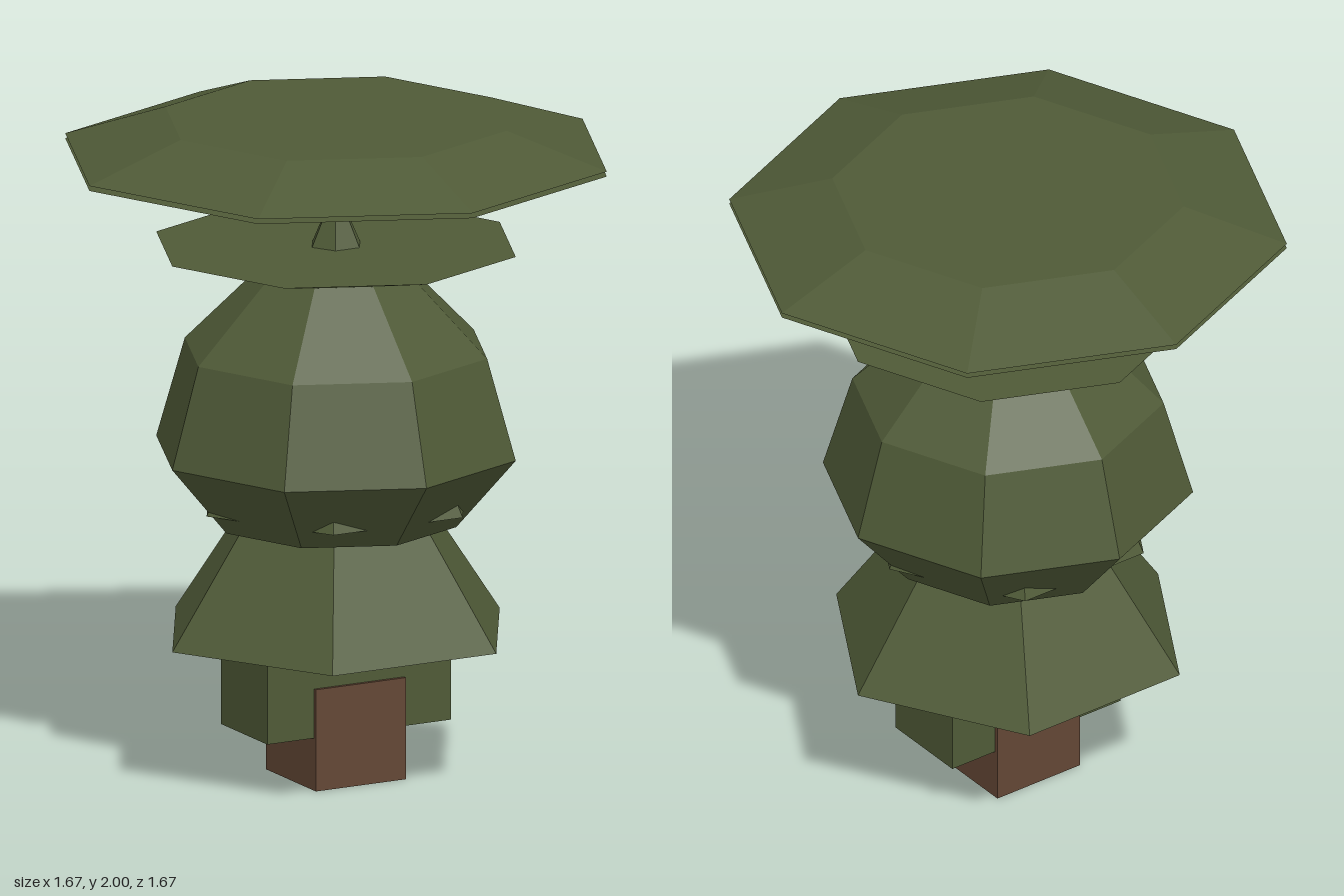
import * as THREE from 'three';

const foliage = new THREE.MeshStandardMaterial({ color: 0x4f5a37, flatShading: true });
foliage.name = 'foliage green';
const bark = new THREE.MeshStandardMaterial({ color: 0x634735, flatShading: true });
bark.name = 'bark brown';

export function createModel() {
  const model = new THREE.Group();
  model.name = 'layeredTree';

  function add(name, geometry, material, y = 0) {
    const mesh = new THREE.Mesh(geometry, material);
    mesh.name = name;
    mesh.position.y = y;
    model.add(mesh);
  }

  // Closed faceted solid from [radius, height] rings, listed bottom to top
  function turned(name, sides, rings, material = foliage) {
    const closed = [[0, rings[0][1]], ...rings, [0, rings[rings.length - 1][1]]];
    const profile = closed.map(([r, y]) => new THREE.Vector2(r, y));
    const start = sides === 6 ? Math.PI / 2 : 0; // a corner always lies on +x
    add(name, new THREE.LatheGeometry(profile, sides, start), material);
  }

  // Square trunk with a wide leafy block around it
  add('trunk', new THREE.BoxGeometry(0.304, 0.31, 0.304), bark, 0.155);
  add('lowerFoliageBlock', new THREE.BoxGeometry(0.62, 0.3, 0.282), foliage, 0.31);

  // Six-sided skirt and the tall inner cone
  turned('skirt', 6, [[0.553, 0.44], [0.32, 0.78], [0.2, 0.96]]);
  turned('innerCone', 6, [[0.437, 0.84], [0.043, 1.7]]);

  // Eight-sided crown with a flared collar on top
  turned('crown', 8, [[0.37, 0.78], [0.553, 0.995], [0.465, 1.3], [0.228, 1.538]]);
  turned('collar', 8, [[0.228, 1.538], [0.553, 1.617]]);

  // Thin stem carrying the split canopy
  turned('stem', 6, [[0.045, 1.7], [0.045, 1.76]], bark);
  turned('canopyBottom', 8, [[0.2, 1.745], [0.833, 1.882]]);
  turned('canopyTop', 8, [[0.833, 1.897], [0.525, 2.0]]);

  return model;
}
